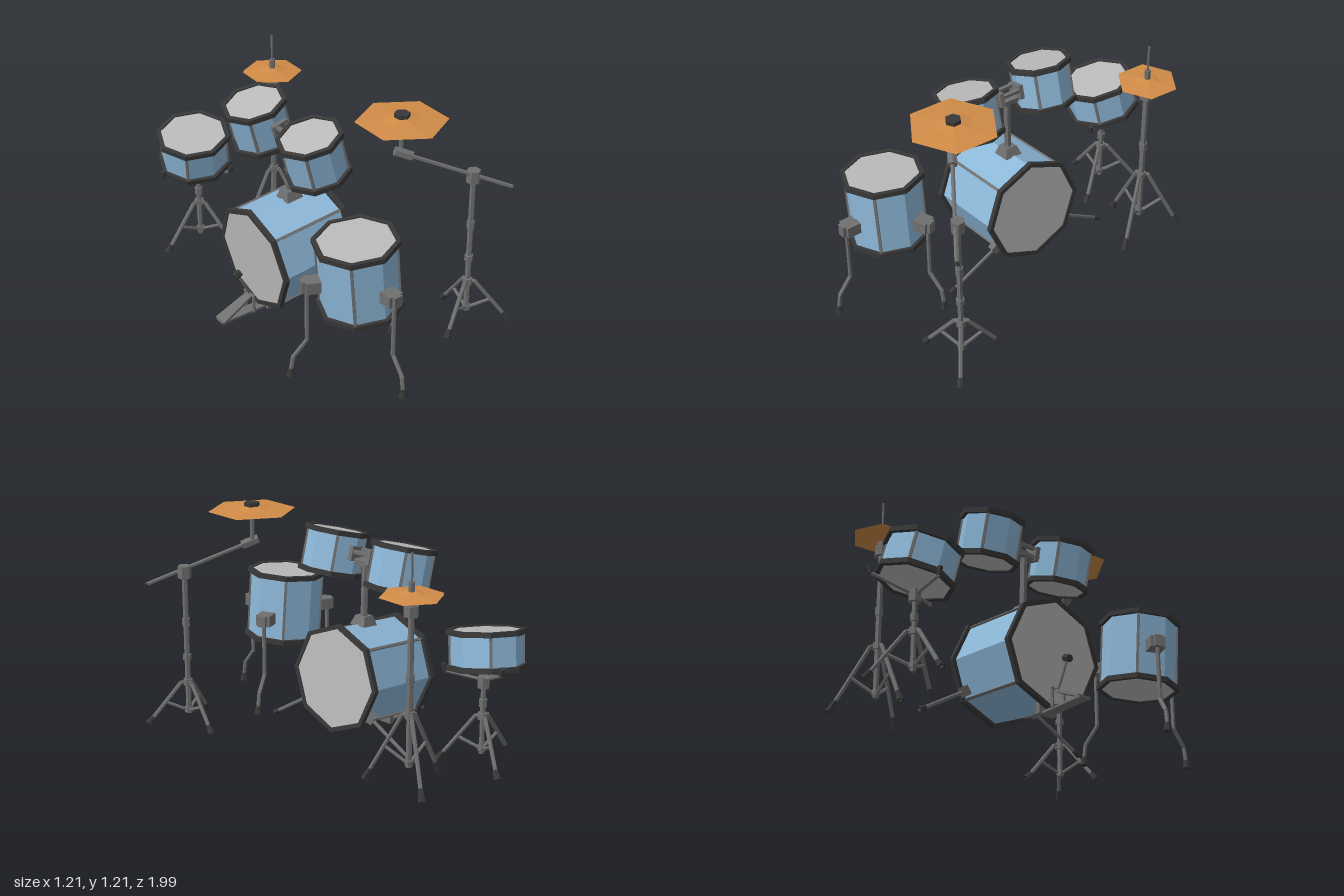
import * as THREE from 'three';

const mat = (color, side = THREE.FrontSide) => new THREE.MeshStandardMaterial({ color, flatShading: true, side });
const BLUE = mat(0x8db8d9), HEAD = mat(0xbababa), DARK = mat(0x383838), METAL = mat(0x707070);
const BRONZE = mat(0xd18c47, THREE.DoubleSide);
const UP = new THREE.Vector3(0, 1, 0);
const V = (x, y, z) => new THREE.Vector3(x, y, z);

function add(parent, name, geo, material, x = 0, y = 0, z = 0) {
  const m = new THREE.Mesh(geo, material);
  m.name = name;
  m.position.set(x, y, z);
  parent.add(m);
  return m;
}

function group(parent, name) {
  const g = new THREE.Group();
  g.name = name;
  parent.add(g);
  return g;
}

// Six-sided bar between two points
function rod(parent, name, a, b, r, material = METAL, rEnd = r) {
  const d = b.clone().sub(a);
  const m = add(parent, name, new THREE.CylinderGeometry(rEnd, r, d.length(), 6), material);
  m.position.copy(a).addScaledVector(d, 0.5);
  m.quaternion.setFromUnitVectors(UP, d.normalize());
  return m;
}

// Eight-sided drum along its axis: shell, two hoops, two heads, four tension rods
function drum(parent, name, center, axis, R, length) {
  const g = group(parent, name);
  g.position.copy(center);
  g.quaternion.setFromUnitVectors(UP, axis.normalize());
  const shellR = R - 0.02, hoopH = 0.026, half = length / 2;
  add(g, 'shell', new THREE.CylinderGeometry(shellR, shellR, length - 0.02, 8, 1, true), BLUE);
  const ring = [[shellR - 0.004, -hoopH / 2], [R, -hoopH / 2], [R, hoopH / 2], [shellR - 0.004, hoopH / 2], [shellR - 0.004, -hoopH / 2]]
    .map(p => new THREE.Vector2(...p));
  for (const s of [-1, 1]) {
    add(g, 'hoop', new THREE.LatheGeometry(ring, 8), DARK, 0, s * (half - hoopH / 2), 0);
    add(g, 'head', new THREE.CylinderGeometry(shellR, shellR, 0.012, 8), HEAD, 0, s * (half - 0.012), 0);
  }
  for (let i = 0; i < 4; i++) {
    const a = Math.PI / 4 + i * Math.PI / 2;
    const m = add(g, 'tensionRod', new THREE.BoxGeometry(0.014, length - 0.03, 0.014), METAL, Math.sin(a) * shellR, 0, Math.cos(a) * shellR);
    m.rotation.y = a;
  }
  return g;
}

// Three straight legs with braces, rubber feet and two hubs; angle is measured from +z towards +x
function tripod(parent, x, z, hubY, lowY, reach, startAngle) {
  const g = group(parent, 'tripod');
  g.position.set(x, 0, z);
  add(g, 'upperHub', new THREE.CylinderGeometry(0.026, 0.026, 0.035, 6), METAL, 0, hubY, 0);
  add(g, 'lowerHub', new THREE.CylinderGeometry(0.022, 0.022, 0.03, 6), METAL, 0, lowY, 0);
  for (let i = 0; i < 3; i++) {
    const a = startAngle + i * Math.PI * 2 / 3;
    const at = (r, y) => V(Math.sin(a) * r, y, Math.cos(a) * r);
    const top = at(0.035, hubY), foot = at(reach, 0.02);
    rod(g, 'hubArm', at(0, hubY), top, 0.011);
    rod(g, 'leg', top, foot, 0.011);
    rod(g, 'brace', top.clone().lerp(foot, 0.48), at(0.015, lowY), 0.009);
    rod(g, 'foot', top.clone().lerp(foot, 0.84), foot, 0.013, DARK, 0.02);
  }
}

// Hexagonal cymbal: shallow cone with a raised bell
function cymbal(parent, name, r, h, x, y, z, turn) {
  const pts = [[r, 0], [r * 0.42, h * 0.5], [r * 0.2, h], [0.001, h * 1.1]].map(p => new THREE.Vector2(...p));
  const m = add(parent, name, new THREE.LatheGeometry(pts, 6), BRONZE, x, y, z);
  m.rotation.y = turn;
  return m;
}

const hex = (parent, name, r, y0, y1, x, z, material = METAL) =>
  add(parent, name, new THREE.CylinderGeometry(r, r, y1 - y0, 6), material, x, (y0 + y1) / 2, z);

export function createModel() {
  const kit = new THREE.Group();
  kit.name = 'drumKit';
  const Z = -0.06;

  // Bass drum with two spurs
  const bass = group(kit, 'bassDrumAssembly');
  drum(bass, 'bassDrum', V(-0.168, 0.338, Z), V(0.996, 0.09, 0), 0.288, 0.46);
  for (const s of [-1, 1]) {
    const a = V(0.02, 0.19, Z + s * 0.225), b = V(0, 0.018, Z + s * 0.505);
    rod(bass, 'spur', a, b, 0.01);
    rod(bass, 'spurFoot', a.clone().lerp(b, 0.87), b, 0.012, DARK, 0.017);
    add(bass, 'spurMount', new THREE.BoxGeometry(0.035, 0.05, 0.04), METAL, 0.015, 0.19, Z + s * 0.225).rotation.x = s * 0.6;
  }

  // Kick pedal
  const pedal = group(kit, 'kickPedal');
  add(pedal, 'basePlate', new THREE.BoxGeometry(0.28, 0.012, 0.06), METAL, -0.47, 0.02, Z);
  const board = add(pedal, 'footBoard', new THREE.BoxGeometry(0.2, 0.014, 0.075), METAL, -0.515, 0.065, Z);
  board.rotation.z = 0.44;
  const pos = board.geometry.attributes.position;
  for (let i = 0; i < pos.count; i++) if (pos.getX(i) > 0) pos.setZ(i, pos.getZ(i) * 0.65);
  add(pedal, 'hoopClamp', new THREE.BoxGeometry(0.025, 0.06, 0.1), METAL, -0.33, 0.042, Z);
  for (const s of [-1, 1]) rod(pedal, 'pedalPost', V(-0.42, 0.02, Z + s * 0.035), V(-0.42, 0.12, Z + s * 0.035), 0.009);
  rod(pedal, 'pedalAxle', V(-0.42, 0.115, Z - 0.045), V(-0.42, 0.115, Z + 0.045), 0.008);
  rod(pedal, 'beaterShaft', V(-0.42, 0.115, Z), V(-0.49, 0.25, Z), 0.007);
  rod(pedal, 'beater', V(-0.51, 0.25, Z), V(-0.475, 0.265, Z), 0.02, DARK);

  // Two rack toms on a shared post
  const toms = group(kit, 'rackToms');
  for (const [name, z] of [['leftTom', -0.293], ['rightTom', 0.173]])
    drum(toms, name, V(-0.178, 0.945, z), V(-0.252, 0.968, 0), 0.171, 0.24);
  add(toms, 'postBase', new THREE.CylinderGeometry(0.045, 0.07, 0.05, 4, 1).rotateY(Math.PI / 4), METAL, -0.16, 0.625, Z).rotation.z = 0.09;
  rod(toms, 'post', V(-0.16, 0.61, Z), V(-0.17, 0.94, Z), 0.019);
  add(toms, 'postTop', new THREE.BoxGeometry(0.07, 0.025, 0.09), METAL, -0.165, 0.935, Z);
  for (const s of [-1, 1]) {
    add(toms, 'tomPlate', new THREE.BoxGeometry(0.09, 0.075, 0.025), METAL, -0.165, 0.965, Z + s * 0.06).rotation.z = 0.255;
    add(toms, 'tomBar', new THREE.BoxGeometry(0.02, 0.016, 0.14), METAL, -0.165 + s * 0.03, 0.985, Z);
    rod(toms, 'tomArm', V(-0.17, 0.96, Z + s * 0.05), V(-0.175, 0.955, Z + s * 0.1), 0.022);
  }

  // Floor tom with three bent legs
  const floor = group(kit, 'floorTomAssembly');
  drum(floor, 'floorTom', V(-0.267, 0.54, 0.637), V(-0.087, 0.996, 0), 0.215, 0.382);
  for (const [a, dx] of [[0, 0.018], [1.92, 0.008], [-1.96, -0.002]]) {
    const leg = group(floor, 'floorTomLeg');
    leg.position.set(-0.267 + dx, 0, 0.637);
    leg.rotation.y = a;
    add(leg, 'legBracket', new THREE.BoxGeometry(0.08, 0.06, 0.075), METAL, 0, 0.51, 0.225);
    add(leg, 'legClamp', new THREE.BoxGeometry(0.045, 0.06, 0.03), METAL, 0, 0.51, 0.265);
    const path = [[0.53, 0.25], [0.2, 0.25], [0.11, 0.32], [0.03, 0.332]];
    for (let i = 0; i < 3; i++) rod(leg, 'legTube', V(0, ...path[i]), V(0, ...path[i + 1]), 0.011);
    add(leg, 'legFoot', new THREE.CylinderGeometry(0.013, 0.023, 0.045, 6), DARK, 0, 0.0225, 0.332);
  }

  // Snare drum on its stand
  const snare = group(kit, 'snareAssembly');
  const sx = -0.25, sz = -0.785;
  drum(snare, 'snareDrum', V(-0.27, 0.615, -0.78), V(-0.14, 0.97, 0.17), 0.2, 0.2);
  tripod(snare, sx, sz, 0.27, 0.1, 0.22, Math.PI / 6);
  rod(snare, 'snareShaft', V(sx, 0.07, sz), V(sx, 0.46, sz), 0.014);
  hex(snare, 'shaftCollar', 0.022, 0.32, 0.36, sx, sz);
  hex(snare, 'basketHub', 0.032, 0.42, 0.48, sx, sz);
  for (let i = 0; i < 3; i++) {
    const a = Math.PI / 6 + i * Math.PI * 2 / 3, s = Math.sin(a), c = Math.cos(a);
    const rim = V(sx + s * 0.2, 0.51 + s * 0.028 - c * 0.035, sz - 0.01 + c * 0.2);
    rod(snare, 'basketArm', V(sx, 0.46, sz), rim, 0.009);
    rod(snare, 'basketGrip', rim, rim.clone().add(V(s * 0.01, 0.04, c * 0.01)), 0.014, DARK);
  }

  // Hi-hat: stand, rod and a facing pair of cymbals
  const hat = group(kit, 'hiHat');
  const hx = 0.19, hz = -0.69;
  tripod(hat, hx, hz, 0.375, 0.13, 0.22, Math.PI / 6 - 0.02);
  rod(hat, 'hatShaft', V(hx, 0.105, hz), V(hx, 0.92, hz), 0.016);
  rod(hat, 'pullRod', V(hx, 0.9, hz), V(hx, 1.18, hz), 0.006);
  hex(hat, 'shaftCollar', 0.022, 0.54, 0.585, hx, hz);
  hex(hat, 'hatSeat', 0.038, 0.87, 0.925, hx, hz);
  hex(hat, 'hatSeatTop', 0.025, 0.925, 0.96, hx, hz);
  cymbal(hat, 'topCymbal', 0.158, 0.018, hx, 0.973, hz, -0.06).rotation.z = -0.01;
  cymbal(hat, 'bottomCymbal', 0.158, -0.018, hx, 0.968, hz, -0.06).rotation.z = 0.01;
  hex(hat, 'clutch', 0.016, 0.985, 1.04, hx, hz);

  // Boom stand with the large cymbal
  const boom = group(kit, 'cymbalStand');
  const bx = 0.415, bz = 0.675;
  tripod(boom, bx, bz, 0.245, 0.09, 0.215, Math.PI - 0.14);
  rod(boom, 'standShaft', V(bx, 0.07, bz), V(bx, 0.84, bz), 0.015);
  hex(boom, 'lowerCollar', 0.023, 0.37, 0.4, bx, bz);
  hex(boom, 'upperCollar', 0.021, 0.555, 0.6, bx, bz);
  hex(boom, 'boomClamp', 0.036, 0.82, 0.885, bx, bz);
  const tail = V(0.576, 0.79, 0.8), tip = V(0.1, 1.0, 0.475);
  rod(boom, 'boomArm', tail, tip, 0.011);
  rod(boom, 'boomEnd', tail, tail.clone().lerp(tip, 0.02), 0.014, DARK);
  rod(boom, 'boomElbow', tip.clone().lerp(tail, 0.12), tip.clone().lerp(tail, -0.03), 0.026);
  rod(boom, 'cymbalPost', V(0.118, 0.98, 0.475), V(0.118, 1.19, 0.475), 0.012);
  hex(boom, 'cymbalSeat', 0.042, 1.125, 1.163, 0.118, 0.475);
  cymbal(boom, 'crashCymbal', 0.228, 0.02, 0.118, 1.165, 0.475, -0.04);
  hex(boom, 'wingNut', 0.04, 1.18, 1.205, 0.118, 0.475, DARK);

  return kit;
}
